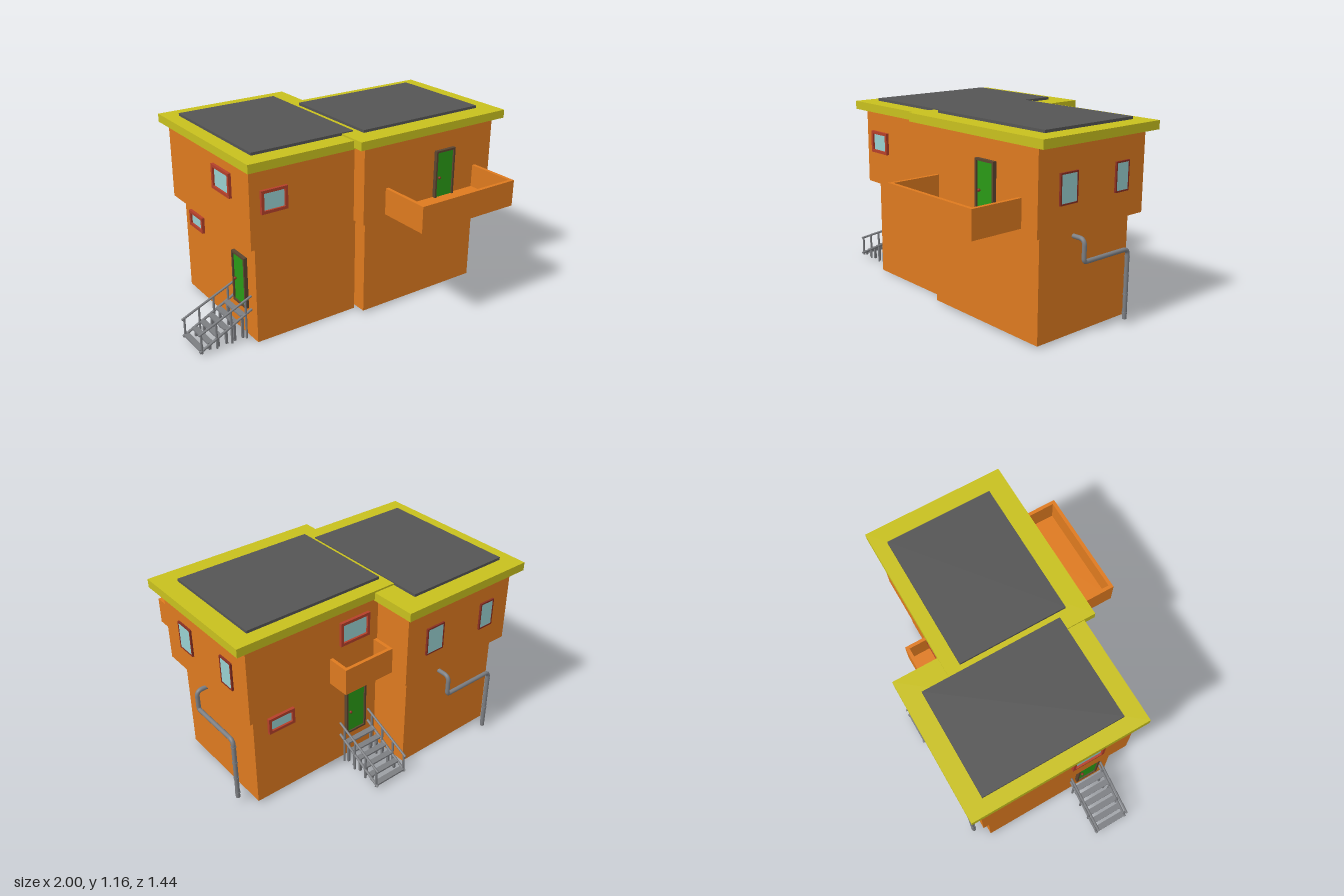
import * as THREE from 'three';

const paint = (color, side = THREE.FrontSide) => new THREE.MeshStandardMaterial({ color, side });
const orange = paint(0xde7a1f);
const shell = paint(0xde7a1f, THREE.DoubleSide);
const yellow = paint(0xc8c01e);
const slate = paint(0x555555);
const metal = paint(0x7c7e82);
const green = paint(0x2a9a16);
const glass = paint(0x98d0d0);
const red = paint(0xb5402a);
const darkRed = paint(0x8a2f22);
const brown = paint(0x5c4530);

function add(parent, name, geometry, material, x = 0, y = 0, z = 0) {
  const mesh = new THREE.Mesh(geometry, material);
  mesh.name = name;
  mesh.position.set(x, y, z);
  parent.add(mesh);
  return mesh;
}

// Box given by its minimum and maximum on each axis
function span(parent, name, material, [x0, x1], [y0, y1], [z0, z1]) {
  return add(parent, name, new THREE.BoxGeometry(x1 - x0, y1 - y0, z1 - z0), material,
    (x0 + x1) / 2, (y0 + y1) / 2, (z0 + z1) / 2);
}

// Round bar between two points
function bar(parent, name, a, b, radius) {
  const p = new THREE.Vector3(...a), q = new THREE.Vector3(...b);
  const mesh = add(parent, name, new THREE.CylinderGeometry(radius, radius, p.distanceTo(q), 8), metal);
  mesh.position.copy(p).lerp(q, 0.5);
  mesh.quaternion.setFromUnitVectors(new THREE.Vector3(0, 1, 0), q.sub(p).normalize());
}

// Group on a wall: local +z points out of the wall
const facing = { front: 0, right: Math.PI / 2, back: Math.PI, left: -Math.PI / 2 };
function onWall(parent, name, side, x, y, z) {
  const group = new THREE.Group();
  group.name = name;
  group.position.set(x, y, z);
  group.rotation.y = facing[side];
  parent.add(group);
  return group;
}

// Rectangular ring, extruded forward from z = back
function frame(parent, name, w, h, t, back, front, material) {
  const rect = (Type, a, b) => new Type([[-a, -b], [a, -b], [a, b], [-a, b]].map(p => new THREE.Vector2(...p)));
  const shape = rect(THREE.Shape, w / 2, h / 2);
  shape.holes.push(rect(THREE.Path, w / 2 - t, h / 2 - t));
  add(parent, name, new THREE.ExtrudeGeometry(shape, { depth: front - back, bevelEnabled: false }), material, 0, 0, back);
}

function wideWindow(parent, side, x, y, z, w, h) {
  const g = onWall(parent, 'wideWindow', side, x, y, z);
  frame(g, 'windowFrame', w, h, 0.017, -0.01, 0.018, red);
  add(g, 'windowPane', new THREE.BoxGeometry(w - 0.03, h - 0.03, 0.012), glass);
}

function tallWindow(parent, side, x, y, z, w) {
  const g = onWall(parent, 'tallWindow', side, x, y, z);
  frame(g, 'windowFrame', w, 0.17, 0.009, -0.01, 0.011, darkRed);
  add(g, 'windowPane', new THREE.BoxGeometry(w - 0.015, 0.155, 0.02), glass);
}

// Door through the wall, y is its sill
function door(parent, side, x, y, z) {
  const g = onWall(parent, 'door', side, x, y + 0.16, z);
  frame(g, 'doorFrame', 0.145, 0.32, 0.012, -0.022, 0.022, brown);
  add(g, 'doorLeaf', new THREE.BoxGeometry(0.123, 0.298, 0.026), green);
  for (const s of [-1, 1]) add(g, 'doorKnob', new THREE.SphereGeometry(0.009, 10, 8), darkRed, -0.042, -0.01, s * 0.02);
}

// Tray-shaped balcony of given size, standing out of the wall
function balcony(parent, side, x, y, z, w, h, d, t) {
  const g = onWall(parent, 'balcony', side, x, y, z);
  span(g, 'balconyFloor', orange, [-w / 2, w / 2], [0, t], [0, d]);
  span(g, 'balconyFrontWall', orange, [-w / 2, w / 2], [t, h], [d - t, d]);
  for (const s of [-1, 1]) {
    add(g, 'balconySideWall', new THREE.BoxGeometry(t, h - t, d - t), orange, s * (w - t) / 2, (h + t) / 2, (d - t) / 2);
  }
}

// Drainpipe: out of the wall, down, sideways, then down to the ground
function drainpipe(parent, side, x, y, z) {
  const g = onWall(parent, 'drainpipe', side, x, y, z);
  const out = 0.08, run = 0.35;
  const pts = [[0, 0.56, -0.01], [0, 0.56, out], [0, 0.435, out], [run, 0.435, out], [run, 0.025, out]]
    .map(p => new THREE.Vector3(...p));
  const path = new THREE.CurvePath();
  let from = pts[0];
  for (let i = 1; i < pts.length; i++) {
    if (i === pts.length - 1) { path.add(new THREE.LineCurve3(from, pts[i])); break; }
    const r = i === 2 ? 0.02 : 0.035;
    const before = pts[i].clone().add(pts[i - 1].clone().sub(pts[i]).setLength(r));
    const after = pts[i].clone().add(pts[i + 1].clone().sub(pts[i]).setLength(r));
    path.add(new THREE.LineCurve3(from, before));
    path.add(new THREE.QuadraticBezierCurve3(before, pts[i], after));
    from = after;
  }
  add(g, 'pipe', new THREE.TubeGeometry(path, 160, 0.013, 12), paint(0x7c7e82, THREE.DoubleSide));
  for (const h of [0.06, 0.17, 0.28, 0.39]) {
    add(g, 'pipeCollar', new THREE.CylinderGeometry(0.0155, 0.0155, 0.008, 12), metal, run, h, out);
  }
}

// Open stairs leading down and away from the wall
function stairs(parent, side, x, z) {
  const g = onWall(parent, 'stairs', side, x, 0, z);
  const slope = d => 0.19 - 0.5 * d;
  const rail = d => 0.275 - 0.43 * d;
  for (let i = 0; i < 6; i++) {
    const d = 0.055 + i * 0.053;
    add(g, 'tread', new THREE.BoxGeometry(0.2, 0.01, 0.036), metal, 0, slope(d), d);
    for (const s of [-1, 1]) {
      span(g, 'stairLeg', metal, [s * 0.085 - 0.007, s * 0.085 + 0.007], [0.01, slope(d)], [d - 0.007, d + 0.007]);
    }
  }
  for (const s of [-0.105, 0.105]) {
    bar(g, 'handrail', [s, rail(0), 0], [s, rail(0.34), 0.34], 0.007);
    bar(g, 'stringer', [s, slope(0), 0], [s, slope(0.34), 0.34], 0.008);
    for (const d of [0.04, 0.135, 0.23, 0.325]) {
      bar(g, 'railPost', [s, 0.012, d], [s, rail(d), d], 0.007);
    }
  }
}

// Lower storey without a bottom, wider upper storey, roof slab and roof panel
function block(parent, name, b) {
  const g = new THREE.Group();
  g.name = name;
  parent.add(g);
  const lower = span(g, 'lowerStorey', shell, b.lowerX, [b.base, b.floor + 0.002], b.lowerZ);
  const index = [...lower.geometry.index.array];
  index.splice(18, 6);
  lower.geometry.setIndex(index);
  lower.geometry.clearGroups();
  span(g, 'upperStorey', orange, b.upperX, [b.floor, b.eaves], b.upperZ);
  span(g, 'roofSlab', yellow, b.roofX, [b.eaves, b.eaves + 0.05], b.roofZ);
  span(g, 'roofPanel', slate, b.panelX, [b.eaves + 0.04, b.eaves + 0.066], b.panelZ);
  return g;
}

export function createModel() {
  const house = new THREE.Group();
  house.name = 'house';

  const a = block(house, 'leftBlock', {
    base: 0.015, floor: 0.622, eaves: 1.09,
    lowerX: [0.03, 0.885], lowerZ: [-0.355, 0.33],
    upperX: [-0.03, 0.935], upperZ: [-0.41, 0.395],
    roofX: [-0.08, 1.0], roofZ: [-0.445, 0.43],
    panelX: [0.03, 0.885], panelZ: [-0.36, 0.305],
  });
  tallWindow(a, 'right', 0.935, 0.855, 0.183, 0.128);
  tallWindow(a, 'right', 0.935, 0.855, -0.225, 0.106);
  door(a, 'front', 0.557, 0.65, 0.395);
  balcony(a, 'front', 0.4725, 0.655, 0.395, 0.695, 0.16, 0.325, 0.022);
  wideWindow(a, 'back', 0.245, 0.937, -0.41, 0.2, 0.145);
  balcony(a, 'back', 0.245, 0.645, -0.41, 0.33, 0.16, 0.135, 0.02);
  wideWindow(a, 'back', 0.71, 0.51, -0.355, 0.17, 0.1);
  door(a, 'back', 0.19, 0.185, -0.355);
  stairs(a, 'back', 0.19, -0.355);
  drainpipe(a, 'right', 0.885, 0.01, 0.08);

  const b = block(house, 'rightBlock', {
    base: 0, floor: 0.613, eaves: 1.08,
    lowerX: [-0.66, 0.02], lowerZ: [-0.605, 0.25],
    upperX: [-0.71, 0.075], upperZ: [-0.655, 0.3],
    roofX: [-0.745, 0.13], roofZ: [-0.72, 0.36],
    panelX: [-0.66, -0.003], panelZ: [-0.61, 0.248],
  });
  wideWindow(b, 'front', -0.563, 0.882, 0.3, 0.165, 0.135);
  wideWindow(b, 'left', -0.71, 0.928, 0.01, 0.2, 0.145);
  wideWindow(b, 'left', -0.66, 0.505, -0.44, 0.17, 0.1);
  door(b, 'left', -0.66, 0.18, 0.085);
  stairs(b, 'left', -0.66, 0.085);
  tallWindow(b, 'back', -0.125, 0.845, -0.655, 0.128);
  tallWindow(b, 'back', -0.53, 0.845, -0.655, 0.106);
  drainpipe(b, 'back', -0.235, -0.01, -0.605);

  return house;
}
